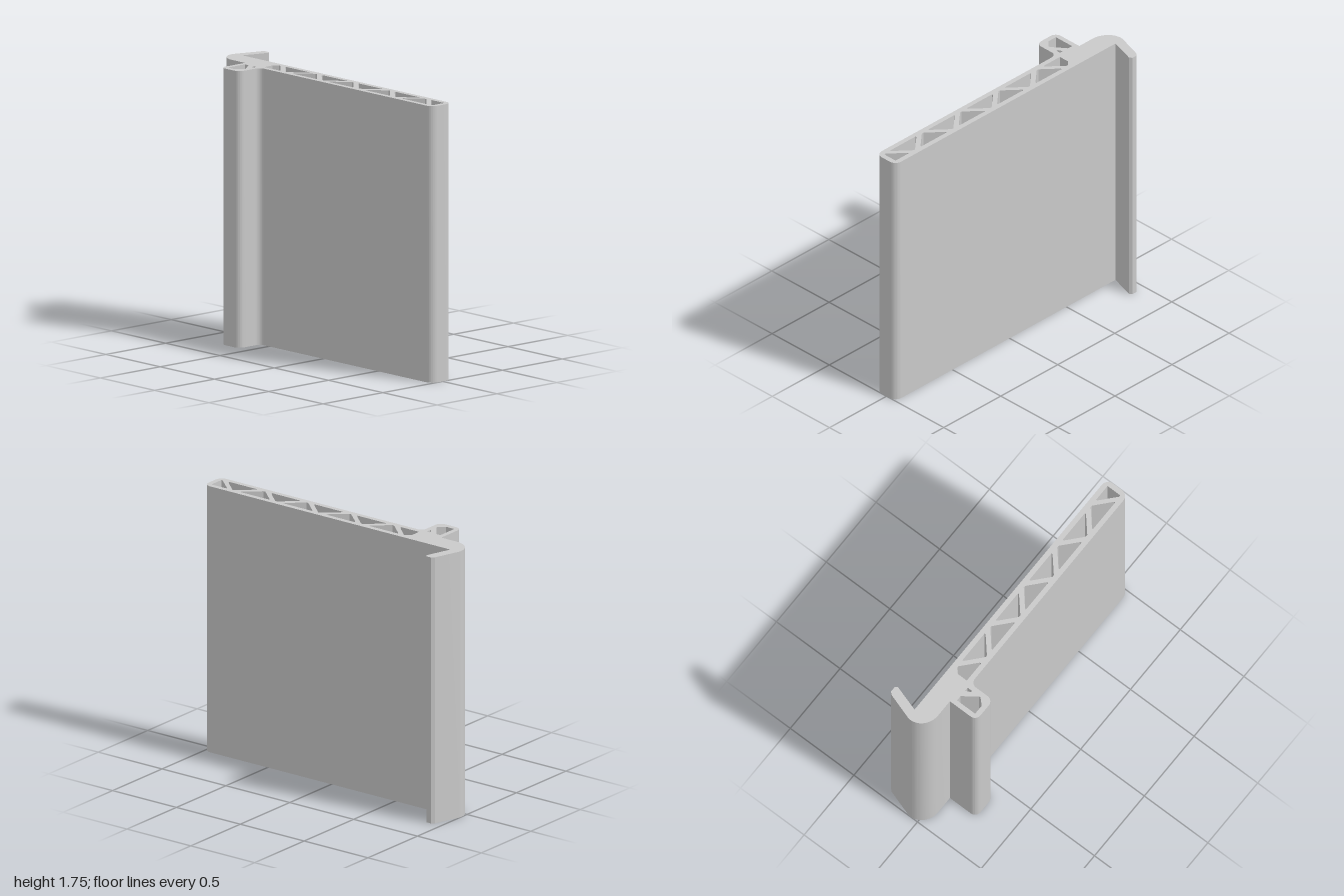
import * as THREE from 'three';
import { toCreasedNormals } from 'three/addons/utils/BufferGeometryUtils.js';

const HEIGHT = 1.75;

// Profile points are [x, z]; the shape's y is -z so the extrusion rises along +y.
// Chambers run counter-clockwise so that their walls face inwards.
function chamber(points) {
  const path = points.map(([x, z]) => new THREE.Vector2(x, -z));
  if (THREE.ShapeUtils.isClockWise(path)) path.reverse();
  return new THREE.Path(path);
}

function profileShape() {
  const s = new THREE.Shape();
  const line = (x, z) => s.lineTo(x, -z);
  const curve = (ax, az, bx, bz, x, z) => s.bezierCurveTo(ax, -az, bx, -bz, x, -z);
  // Quarter round towards a corner point
  const round = (cx, cz, x, z) => {
    const p = s.currentPoint, k = 0.5523;
    curve(p.x + (cx - p.x) * k, -p.y + (cz + p.y) * k, x + (cx - x) * k, z + (cz - z) * k, x, z);
  };

  // Hook lip with a chamfered tip
  s.moveTo(-0.926, 0.266);
  line(-0.89, -0.266);
  line(-0.877, -0.249);
  line(-0.93, -0.078);
  // Plate back, free end and front
  line(0.95, -0.078);
  round(1, -0.078, 1, -0.028);
  line(1, 0.041);
  round(1, 0.091, 0.95, 0.091);
  line(-0.54, 0.091);
  // Fillet into the front rib
  round(-0.581, 0.091, -0.581, 0.131);
  line(-0.581, 0.223);
  round(-0.581, 0.267, -0.625, 0.267);
  line(-0.709, 0.267);
  round(-0.752, 0.267, -0.752, 0.223);
  line(-0.752, 0.061);
  // Rounded heel of the hook
  line(-0.87, 0.061);
  curve(-0.95, 0.061, -1.01, -0.005, -0.998, -0.073);
  line(-0.942, -0.249);
  line(-0.926, -0.266);

  // Truss chambers between the plate's two skins
  const top = -0.045, bottom = 0.059, pitch = 0.336;
  s.holes.push(chamber([[-0.58, bottom], [-0.58, -0.012], [-0.551, -0.041],
    [-0.539, -0.041], [-0.437, 0.05], [-0.437, bottom]]));
  for (let i = 0; i < 4; i++) {
    const up = -0.21 + pitch * i, down = -0.38 + pitch * i;
    s.holes.push(chamber([[up - 0.112, bottom], [up - 0.11, 0.05], [up - 0.007, -0.041],
      [up + 0.007, -0.041], [up + 0.11, 0.05], [up + 0.112, bottom]]));
    s.holes.push(chamber([[down - 0.112, top], [down + 0.112, top], [down + 0.11, -0.036],
      [down + 0.007, 0.055], [down - 0.007, 0.055], [down - 0.11, -0.036]]));
  }
  s.holes.push(chamber([[0.85, top], [0.966, top], [0.966, 0.055], [0.955, 0.055], [0.852, -0.036]]));

  // Chambers in the front rib
  s.holes.push(chamber([[-0.72, 0.092], [-0.685, 0.092], [-0.615, 0.184], [-0.615, 0.194],
    [-0.654, 0.234], [-0.72, 0.234]]));
  s.holes.push(chamber([[-0.64, 0.092], [-0.614, 0.092], [-0.614, 0.127], [-0.624, 0.125]]));
  return s;
}

export function createModel() {
  const grey = new THREE.MeshStandardMaterial({ color: 0xc9c9c9 });
  grey.name = 'plain grey';

  const extruded = new THREE.ExtrudeGeometry(profileShape(), {
    depth: HEIGHT, bevelEnabled: false, curveSegments: 24,
  });
  extruded.rotateX(-Math.PI / 2);

  // Curved corners stay smooth, straight edges stay sharp
  const panel = new THREE.Mesh(toCreasedNormals(extruded, Math.PI / 10), grey);
  panel.name = 'extrudedPanel';

  const group = new THREE.Group();
  group.name = 'hollowPanelProfile';
  group.add(panel);
  return group;
}
